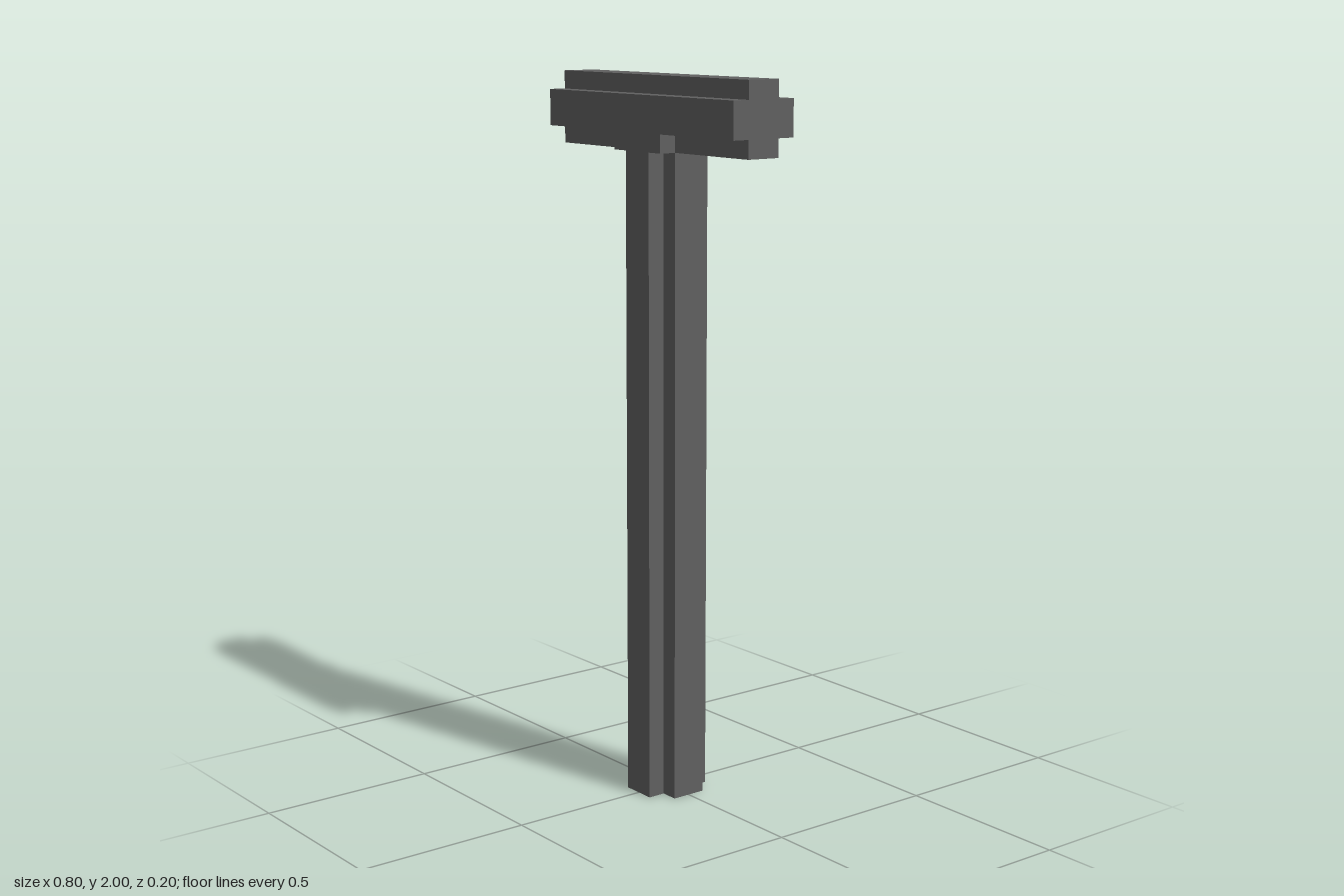
import * as THREE from 'three';

const OUTER = 0.1;  // half width across the cross section
const INNER = 0.05; // half width of each rib

// Plus-shaped bar, extruded along z from 0 to length
function plusBar(length) {
  const o = OUTER, i = INNER;
  const corners = [
    [o, -i], [o, i], [i, i], [i, o], [-i, o], [-i, i],
    [-o, i], [-o, -i], [-i, -i], [-i, -o], [i, -o], [i, -i],
  ];
  const shape = new THREE.Shape(corners.map(([x, y]) => new THREE.Vector2(x, y)));
  return new THREE.ExtrudeGeometry(shape, { depth: length, bevelEnabled: false });
}

export function createModel() {
  const model = new THREE.Group();
  model.name = 'tPost';

  const grey = new THREE.MeshStandardMaterial({ color: 0x606060 });
  grey.name = 'darkGrey';

  const add = (name, geometry, x, y, z) => {
    const mesh = new THREE.Mesh(geometry, grey);
    mesh.name = name;
    mesh.position.set(x, y, z);
    model.add(mesh);
  };

  // Upright with four grooved corners
  add('post', plusBar(1.8).rotateX(-Math.PI / 2), 0, 0, 0);

  // Beam across the top, with the same section
  add('crossbeam', plusBar(0.8).rotateY(Math.PI / 2), -0.4, 1.9, 0);

  // Blocks that close the beam's lower grooves above the post
  for (const side of [1, -1]) {
    add(side > 0 ? 'frontJointBlock' : 'backJointBlock',
      new THREE.BoxGeometry(2 * OUTER, OUTER - INNER, OUTER - INNER),
      0, 1.825, side * 0.075);
  }

  return model;
}
